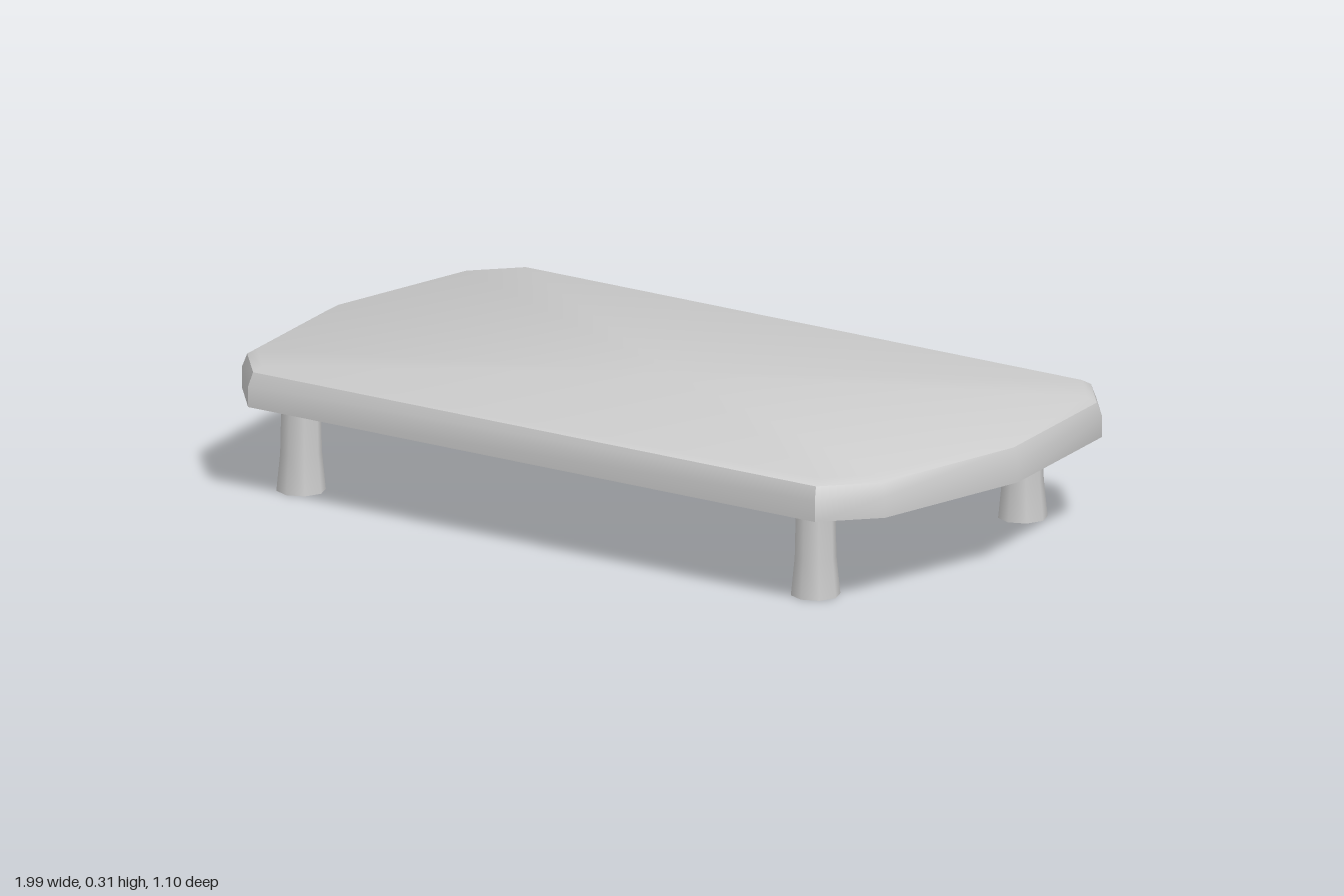
import * as THREE from 'three';
import { toCreasedNormals } from 'three/addons/utils/BufferGeometryUtils.js';

const material = new THREE.MeshStandardMaterial({ color: 0xcccccc });
const openMaterial = new THREE.MeshStandardMaterial({ color: 0xcccccc, side: THREE.DoubleSide });

// Tabletop outline as [x, z], pointed at both ends
const outline = [
  [0.995, 0], [0.925, 0.423], [0.815, 0.548], [-0.815, 0.548], [-0.925, 0.423],
  [-0.995, 0], [-0.925, -0.423], [-0.815, -0.548], [0.815, -0.548], [0.925, -0.423],
].map(([x, z]) => new THREE.Vector2(x, z));

// Moves every edge of the outline inwards by d, with mitred corners
function inset(points, d) {
  const n = points.length;
  const inward = (a, b) => new THREE.Vector2(-(b.y - a.y), b.x - a.x).normalize();
  return points.map((p, i) => {
    const n1 = inward(points[(i + n - 1) % n], p);
    const n2 = inward(p, points[(i + 1) % n]);
    const miter = n1.clone().add(n2).multiplyScalar(d / (1 + n1.dot(n2)));
    return miter.add(p);
  });
}

// Slab lofted through inset outlines, capped above and below
function topGeometry() {
  const sections = [[0.22, 0], [0.27, 0], [0.302, 0.012], [0.315, 0.034]];
  const n = outline.length;
  const positions = [0, sections[0][0], 0];
  const index = [];
  for (const [y, d] of sections) {
    for (const p of inset(outline, d)) positions.push(p.x, y, p.y);
  }
  const last = sections.length - 1;
  const at = (s, i) => 1 + s * n + (i % n);
  const topCentre = positions.length / 3;
  positions.push(0, sections[last][0], 0);
  for (let i = 0; i < n; i++) {
    for (let s = 0; s < last; s++) {
      index.push(at(s, i), at(s + 1, i), at(s, i + 1));
      index.push(at(s + 1, i), at(s + 1, i + 1), at(s, i + 1));
    }
    index.push(0, at(0, i), at(0, i + 1));
    index.push(topCentre, at(last, i + 1), at(last, i));
  }
  const geometry = new THREE.BufferGeometry();
  geometry.setAttribute('position', new THREE.Float32BufferAttribute(positions, 3));
  geometry.setIndex(index);
  return toCreasedNormals(geometry, 0.67);
}

export function createModel() {
  const group = new THREE.Group();
  group.name = 'lowTable';

  const top = new THREE.Mesh(topGeometry(), material);
  top.name = 'tableTop';
  group.add(top);

  // Hollow legs, flared towards the floor
  const profile = [[0.058, 0], [0.049, 0.09], [0.046, 0.225]].map(([r, y]) => new THREE.Vector2(r, y));
  const legGeometry = new THREE.LatheGeometry(profile, 8);
  for (const [xName, x] of [['Left', 0.72], ['Right', -0.76]]) {
    for (const [zName, z] of [['front', 0.416], ['back', -0.392]]) {
      const leg = new THREE.Mesh(legGeometry, openMaterial);
      leg.name = `${zName}${xName}Leg`;
      leg.position.set(x, 0, z);
      group.add(leg);
    }
  }
  return group;
}
